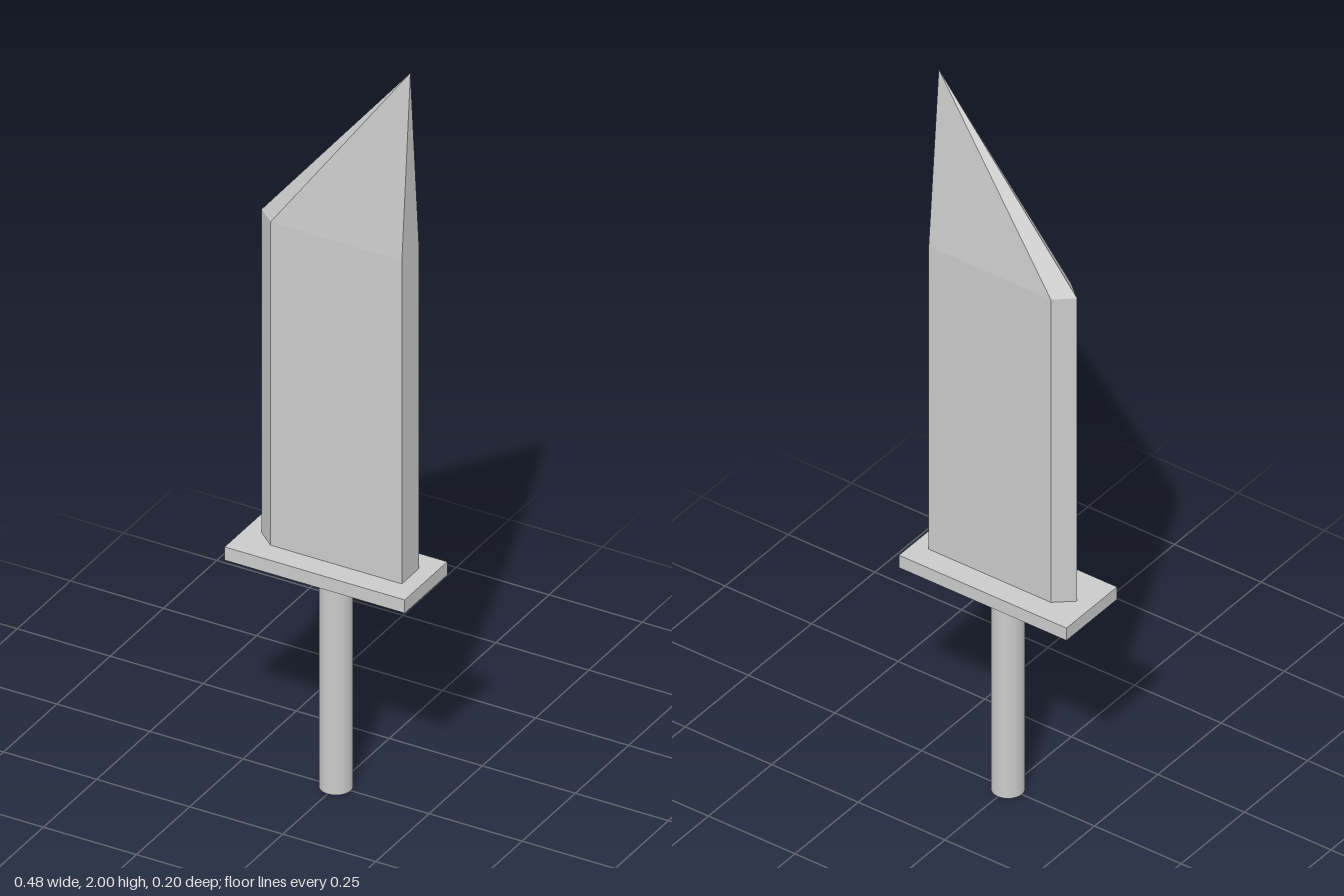
import * as THREE from 'three';

const material = () => new THREE.MeshStandardMaterial({ color: 0xcccccc });

function addPart(group, name, geometry, y, flat = false) {
  const mesh = new THREE.Mesh(geometry, material());
  mesh.material.flatShading = flat;
  mesh.name = name;
  mesh.position.y = y;
  group.add(mesh);
}

// Five-sided blade: a bevelled cutting edge at -x, a flat spine at +x, rising to a point over the spine
function bladeGeometry(bottom, shoulder, tipY) {
  const section = [[-0.2, 0], [-0.153, 0.04], [0.2, 0.04], [0.2, -0.04], [-0.153, -0.04]];
  const tip = [0.2, tipY, 0];
  const at = (i, y) => [section[i % 5][0], y, section[i % 5][1]];
  const positions = [];
  const triangle = (a, b, c) => positions.push(...a, ...b, ...c);
  for (let i = 0; i < 5; i++) {
    const a = at(i, bottom), b = at(i + 1, bottom);
    const c = at(i + 1, shoulder), d = at(i, shoulder);
    triangle(a, b, c);
    triangle(a, c, d);
    triangle(d, c, tip);
    if (i > 0 && i < 4) triangle(at(0, bottom), b, a); // base cap
  }
  const geometry = new THREE.BufferGeometry();
  geometry.setAttribute('position', new THREE.Float32BufferAttribute(positions, 3));
  geometry.computeVertexNormals();
  return geometry;
}

export function createModel() {
  const group = new THREE.Group();
  group.name = 'sword';

  // Round grip
  addPart(group, 'handle', new THREE.CylinderGeometry(0.04, 0.04, 0.6, 32), 0.3);

  // Flat rectangular guard
  addPart(group, 'guard', new THREE.BoxGeometry(0.484, 0.036, 0.2), 0.613);

  // Single-edged blade
  addPart(group, 'blade', bladeGeometry(0.625, 1.51, 2), 0, true);

  return group;
}
